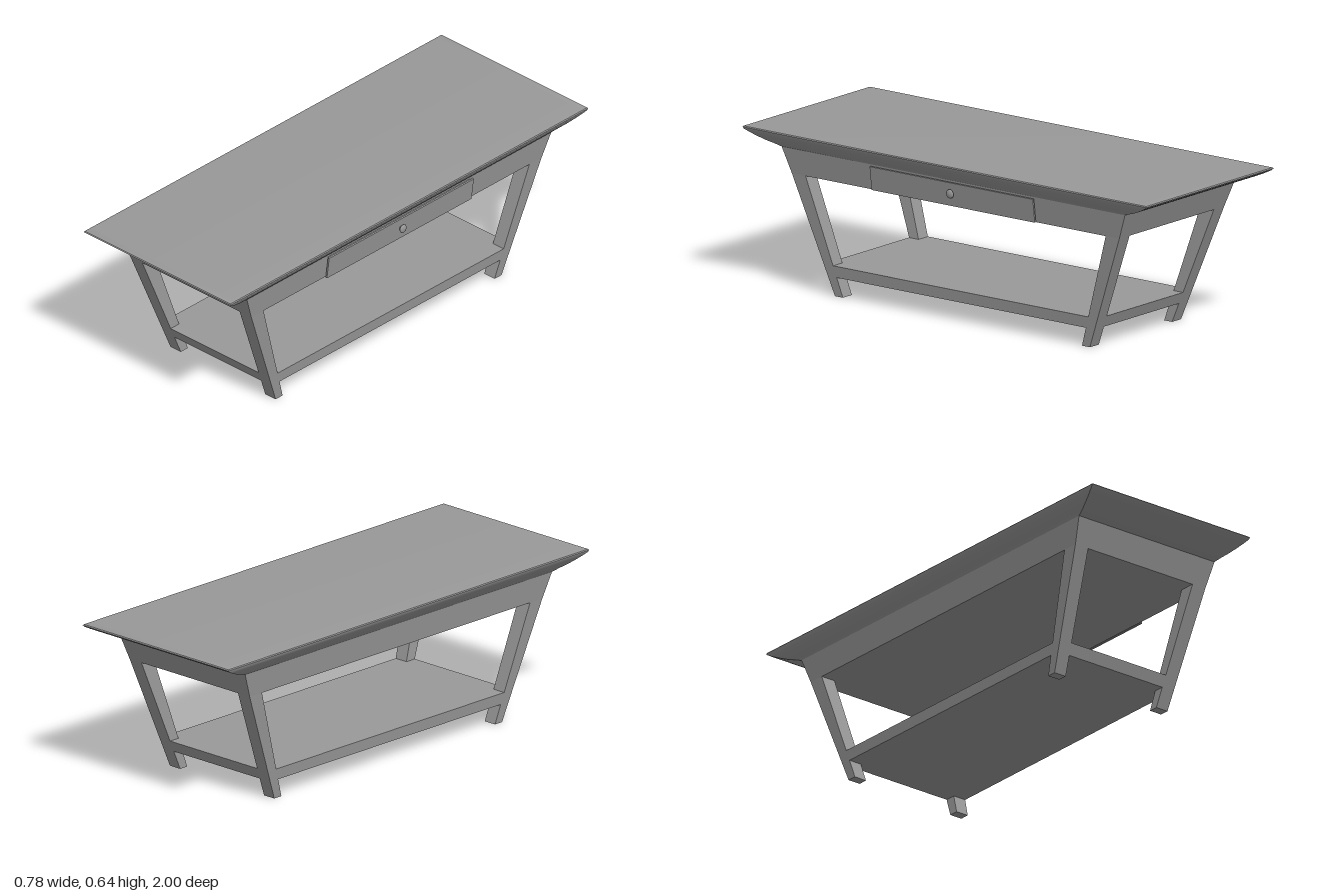
import * as THREE from 'three';
import { toCreasedNormals } from 'three/addons/utils/BufferGeometryUtils.js';

const material = new THREE.MeshStandardMaterial({ color: 0x999999 });
const lerp = THREE.MathUtils.lerp;

const APRON_BOTTOM = 0.469, APRON_TOP = 0.572;
const SHELF_BOTTOM = 0.077, SHELF_TOP = 0.123;

// Outer half-width and half-length of the splayed frame at height y
function outerX(y) {
  return y < APRON_BOTTOM
    ? lerp(0.28, 0.322, y / APRON_BOTTOM)
    : lerp(0.322, 0.336, (y - APRON_BOTTOM) / (APRON_TOP - APRON_BOTTOM));
}
const outerZ = (y) => lerp(0.631, 0.85, y / APRON_TOP);
const innerX = (y) => lerp(0.225, 0.259, y / APRON_BOTTOM);
const innerZ = (y) => lerp(0.592, 0.743, y / APRON_BOTTOM);

// Closed loft through horizontal rectangles [y, x0, x1, z0, z1], bottom to top
function loft(sections) {
  const positions = [], index = [];
  for (const [y, x0, x1, z0, z1] of sections) {
    positions.push(x0, y, z1, x1, y, z1, x1, y, z0, x0, y, z0);
  }
  for (let s = 0; s < sections.length - 1; s++) {
    for (let i = 0; i < 4; i++) {
      const a = s * 4 + i, b = s * 4 + (i + 1) % 4;
      index.push(a, b, b + 4, a, b + 4, a + 4);
    }
  }
  const t = (sections.length - 1) * 4;
  index.push(0, 2, 1, 0, 3, 2, t, t + 1, t + 2, t, t + 2, t + 3);
  const geometry = new THREE.BufferGeometry();
  geometry.setAttribute('position', new THREE.Float32BufferAttribute(positions, 3));
  geometry.setIndex(index);
  return toCreasedNormals(geometry, 0.5);
}

function addMesh(parent, name, geometry) {
  const mesh = new THREE.Mesh(geometry, material);
  mesh.name = name;
  parent.add(mesh);
  return mesh;
}

// Centred slab that follows the splay of the frame
function splayedSlab(y0, y1) {
  return loft([y0, y1].map((y) => [y, -outerX(y), outerX(y), -outerZ(y), outerZ(y)]));
}

// One length of a corner leg
function legPiece(sx, sz, y0, y1) {
  return loft([y0, y1].map((y) => {
    const xs = [sx * innerX(y), sx * outerX(y)].sort((a, b) => a - b);
    const zs = [sz * innerZ(y), sz * outerZ(y)].sort((a, b) => a - b);
    return [y, ...xs, ...zs];
  }));
}

export function createModel() {
  const table = new THREE.Group();
  table.name = 'table';

  // Table top with a curved, undercut edge
  const edge = [
    [0.572, 0.336, 0.85], [0.582, 0.345, 0.879], [0.593, 0.358, 0.912], [0.606, 0.37, 0.944],
    [0.619, 0.381, 0.972], [0.63, 0.389, 0.993], [0.637, 0.391, 1.0], [0.641, 0.388, 0.997],
    [0.643, 0.382, 0.985], [0.644, 0.372, 0.965],
  ];
  addMesh(table, 'tableTop', loft(edge.map(([y, x, z]) => [y, -x, x, -z, z])));

  // Apron and lower shelf
  addMesh(table, 'apron', splayedSlab(APRON_BOTTOM, APRON_TOP));
  addMesh(table, 'shelf', splayedSlab(SHELF_BOTTOM, SHELF_TOP));

  // Four splayed legs, each with a foot below the shelf
  for (const sx of [-1, 1]) {
    for (const sz of [-1, 1]) {
      const leg = new THREE.Group();
      leg.name = (sz > 0 ? 'front' : 'back') + (sx > 0 ? 'Left' : 'Right') + 'Leg';
      addMesh(leg, 'upperLeg', legPiece(sx, sz, SHELF_TOP, APRON_BOTTOM));
      addMesh(leg, 'foot', legPiece(sx, sz, 0, SHELF_BOTTOM));
      table.add(leg);
    }
  }

  // Drawer on the +x side, tilted with the apron
  const drawer = new THREE.Group();
  drawer.name = 'drawer';
  drawer.position.set(0.329, 0.52, 0);
  const tilted = new THREE.Group();
  tilted.name = 'drawerPanels';
  tilted.rotation.z = -0.13;
  const back = addMesh(tilted, 'drawerBacking', new THREE.BoxGeometry(0.012, 0.088, 0.79));
  back.position.x = 0.002;
  const front = addMesh(tilted, 'drawerFront', new THREE.BoxGeometry(0.007, 0.096, 0.808));
  front.position.x = 0.0105;
  drawer.add(tilted);

  // Turned knob
  const profile = [
    [0, 0], [0.009, 0], [0.006, 0.003], [0.005, 0.007], [0.009, 0.009], [0.015, 0.012],
    [0.018, 0.0155], [0.016, 0.019], [0.01, 0.022], [0, 0.023],
  ].map(([r, h]) => new THREE.Vector2(r, h));
  const knob = addMesh(drawer, 'drawerKnob', new THREE.LatheGeometry(profile, 24));
  knob.rotation.z = -Math.PI / 2;
  knob.position.set(0.0125, 0.004, 0);
  table.add(drawer);

  return table;
}
